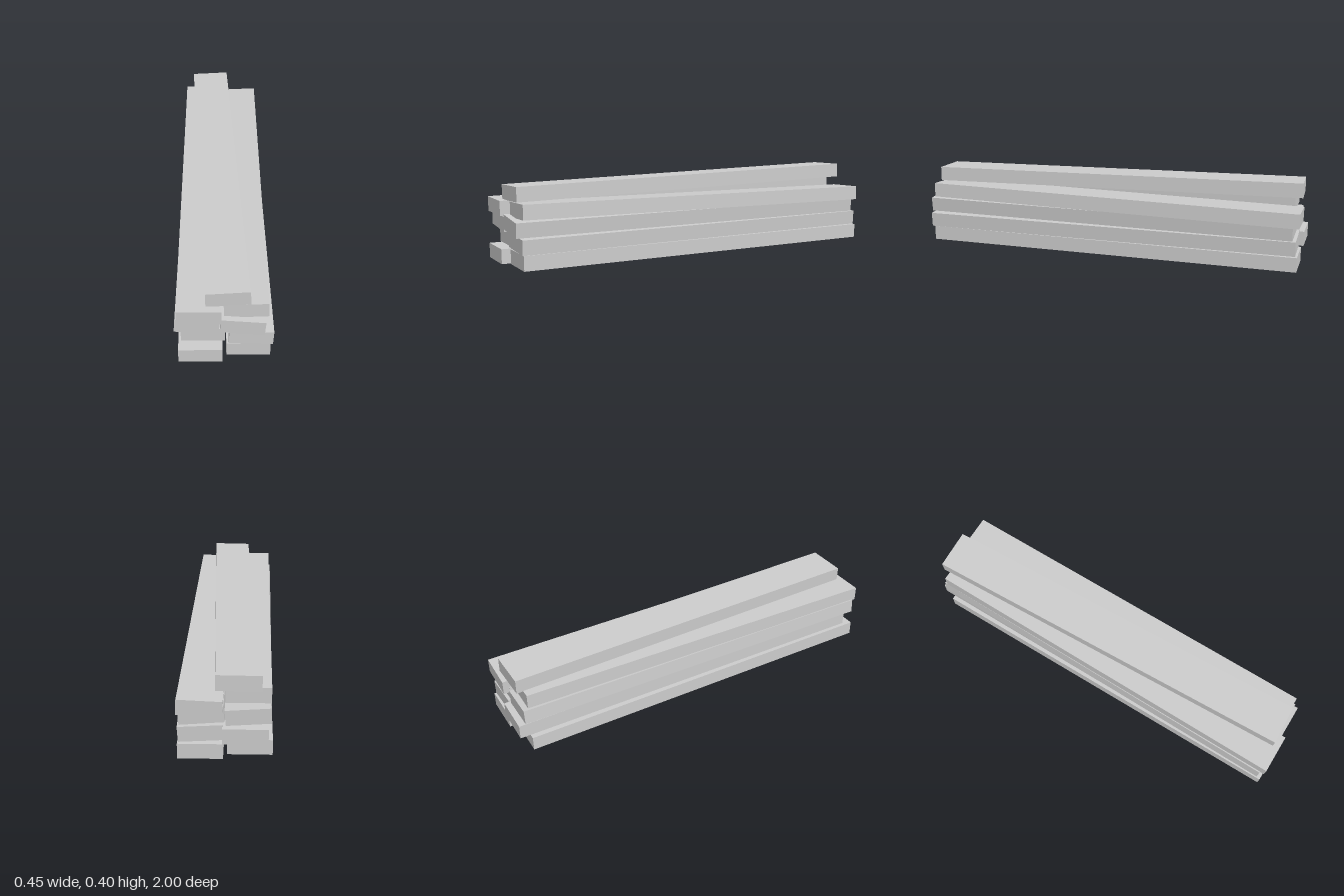
import * as THREE from 'three';

// Each plank: name, front-end centre [x, y, z], shift of its back end [x, y], roll in degrees
const PLANKS = [
  ['bottomPlankRight', [-0.107, 0.037, 1.0], [0, 0], 0],
  ['bottomPlankLeft', [0.11, 0.037, 0.96], [0, 0], 0],
  ['secondPlankRight', [-0.095, 0.117, 0.948], [0.008, 0], 0],
  ['secondPlankLeft', [0.122, 0.1185, 0.97], [-0.014, 0.001], -3.1],
  ['thirdPlankRight', [-0.122, 0.197, 0.978], [0.023, 0], -4.3],
  ['thirdPlankLeft', [0.083, 0.197, 0.985], [0.023, 0], -4.9],
  ['fourthPlankRight', [-0.112, 0.271, 1.0], [0.0125, 0.02], -0.3],
  ['fourthPlankLeft', [0.099, 0.27, 0.955], [0.013, -0.021], 2.4],
  ['topPlank', [0.017, 0.345, 0.963], [-0.075, 0.02], 1.6],
];

const WIDTH = 0.2, THICKNESS = 0.073, LENGTH = 1.946;

export function createModel() {
  const stack = new THREE.Group();
  stack.name = 'plankStack';
  const geometry = new THREE.BoxGeometry(WIDTH, THICKNESS, LENGTH);
  const material = new THREE.MeshStandardMaterial({ color: 0xcccccc, flatShading: true });

  for (const [name, [x, y, z], [dx, dy], roll] of PLANKS) {
    const plank = new THREE.Mesh(geometry, material);
    plank.name = name;
    // Centre lies halfway between the two ends
    plank.position.set(x + dx / 2, y + dy / 2, z - LENGTH / 2);
    // Aim the long axis from back end to front end, then roll about it
    plank.rotation.set(
      Math.asin(dy / LENGTH),
      Math.atan2(-dx, LENGTH),
      THREE.MathUtils.degToRad(roll),
      'YXZ'
    );
    stack.add(plank);
  }
  return stack;
}
